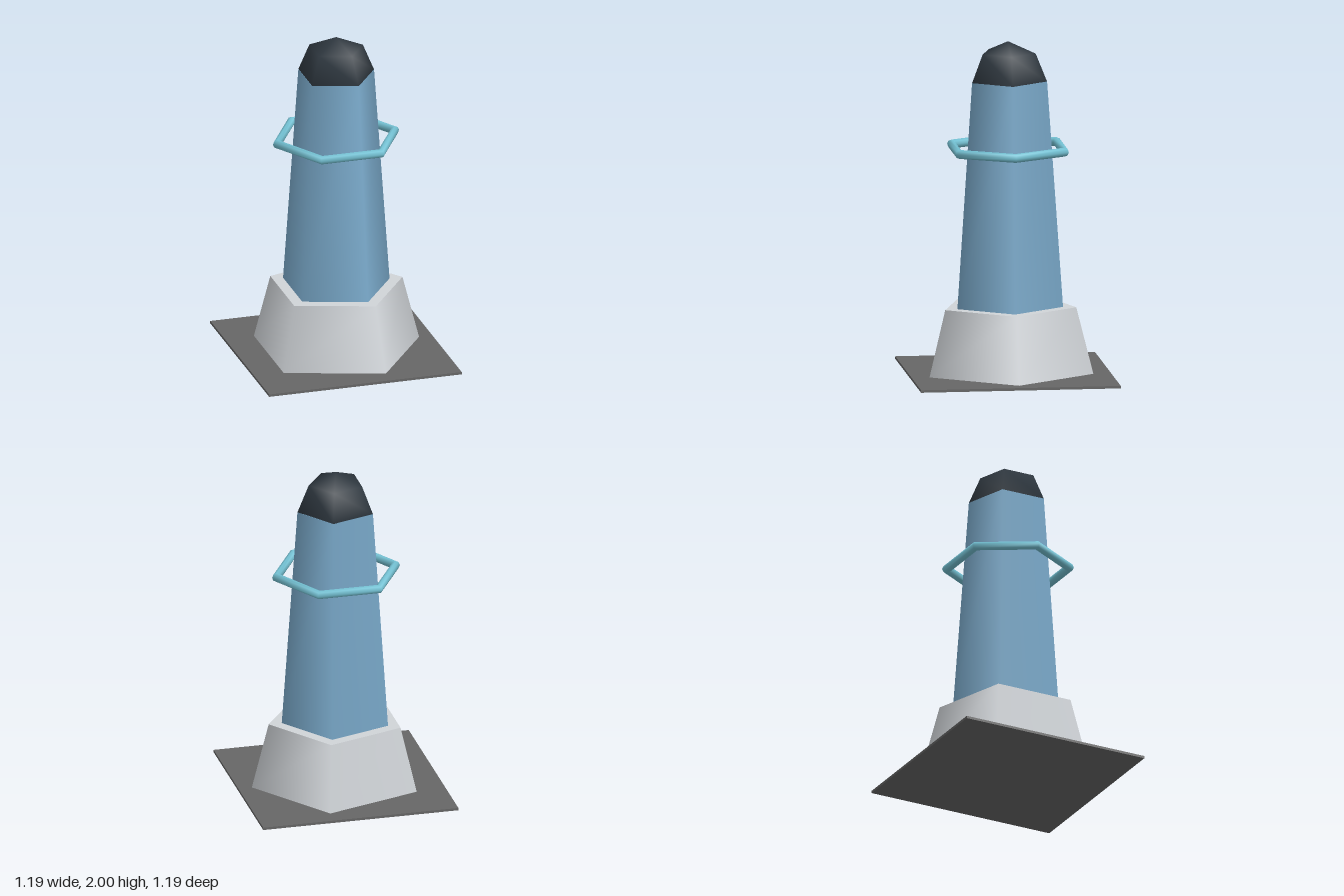
import * as THREE from 'three';

const paint = (name, color) => {
  const m = new THREE.MeshStandardMaterial({ color });
  m.name = name;
  return m;
};

export function createModel() {
  const group = new THREE.Group();
  const grey = paint('darkGrey', 0x666666);
  const white = paint('paleGrey', 0xd0d4d8);
  const blue = paint('blue', 0x7aaacb);
  const teal = paint('teal', 0x74c2d4);
  const black = paint('nearBlack', 0x2e373f);

  const add = (name, geometry, material, y) => {
    const mesh = new THREE.Mesh(geometry, material);
    mesh.name = name;
    mesh.position.y = y;
    group.add(mesh);
    return mesh;
  };

  // Smoothly shaded five-sided frustum with one corner towards +x
  const frustum = (rTop, rBottom, y0, y1, name, material) =>
    add(name, new THREE.CylinderGeometry(rTop, rBottom, y1 - y0, 5, 1, false, Math.PI / 2), material, (y0 + y1) / 2);

  // Ground slab
  add('groundSlab', new THREE.BoxGeometry(1.194, 0.015, 1.194), grey, 0.0075);

  // Plinth and tapering tower
  frustum(0.412, 0.515, 0.015, 0.412, 'plinth', white);
  frustum(0.236, 0.332, 0.412, 1.765, 'tower', blue);

  // Faceted-outline dome on top
  add('dome', new THREE.SphereGeometry(0.236, 5, 2, Math.PI, Math.PI * 2, 0, Math.PI / 2), black, 1.764);

  // Floating hexagonal ring
  const ring = add('ring', new THREE.TorusGeometry(0.364, 0.027, 8, 6), teal, 1.357);
  ring.rotation.x = Math.PI / 2;

  return group;
}
